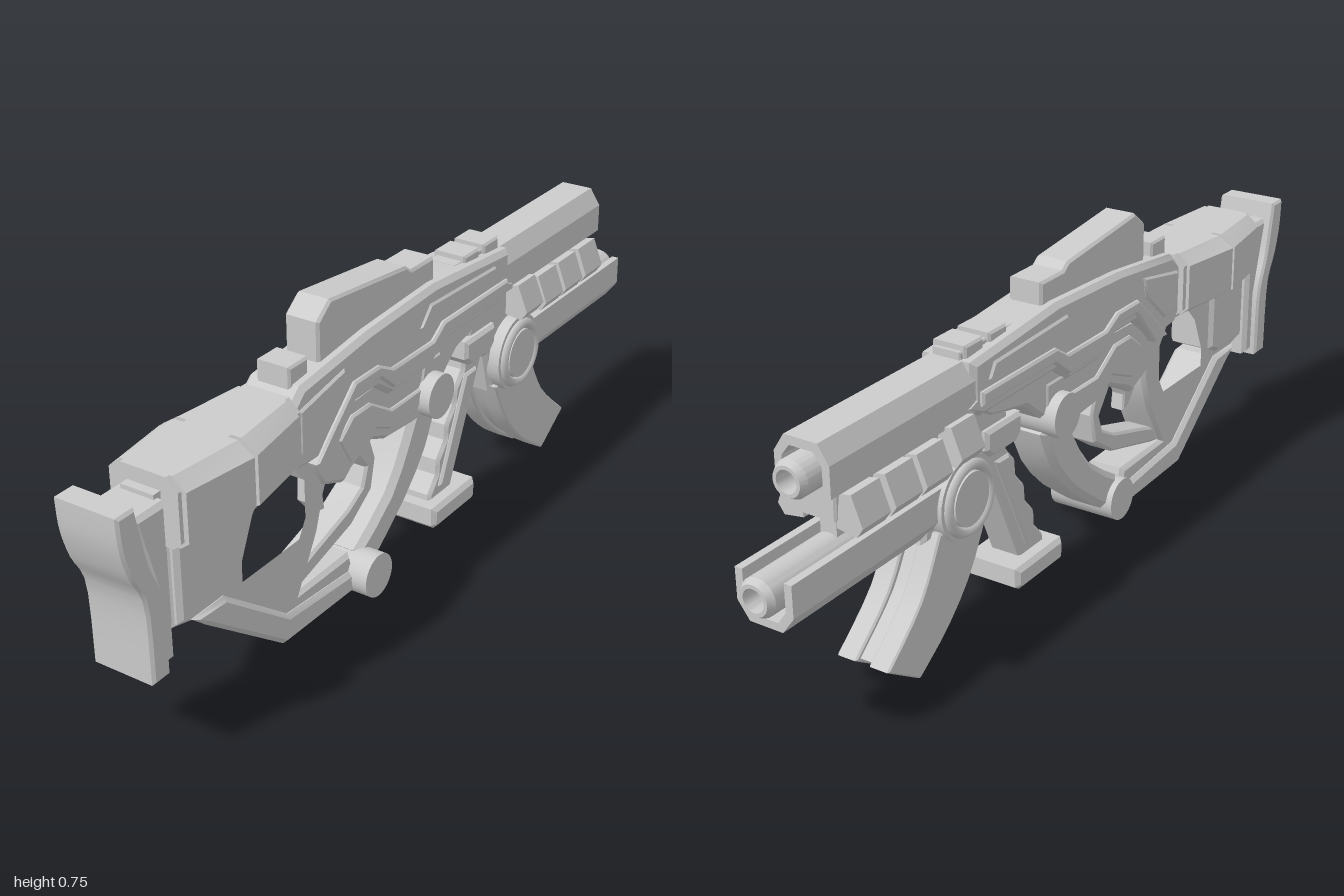
import * as THREE from 'three';
import { toCreasedNormals } from 'three/addons/utils/BufferGeometryUtils.js';

const mat = new THREE.MeshStandardMaterial({ color: 0xcccccc });

export function createModel() {
  const model = new THREE.Group();
  const add = (name, geo) => {
    const mesh = new THREE.Mesh(geo, mat);
    mesh.name = name;
    model.add(mesh);
    return mesh;
  };
  const toShape = (pts) => new THREE.Shape(pts.map(([u, v]) => new THREE.Vector2(u, v)));

  // Side profile in [z, y], extruded across x with chamfered rims
  const plate = (name, pts, x0, x1, bevel = 0.01, hole) => {
    const flip = (list) => list.map(([z, y]) => [-z, y]);
    const shape = toShape(flip(pts));
    if (hole) shape.holes.push(toShape(flip(hole)));
    const geo = new THREE.ExtrudeGeometry(shape, {
      depth: x1 - x0 - 2 * bevel, bevelEnabled: bevel > 0, bevelThickness: bevel,
      bevelSize: bevel, bevelOffset: -bevel, bevelSegments: 1,
    });
    geo.translate(0, 0, x0 + bevel).rotateY(Math.PI / 2);
    return add(name, toCreasedNormals(geo, 0.5));
  };
  const slab = (name, pts, half, bevel, hole) => plate(name, pts, -half, half, bevel, hole);
  const rect = (z0, z1, y0, y1) => [[z0, y0], [z1, y0], [z1, y1], [z0, y1]];

  // Cross-section in [x, y], extruded along z, with an x scale at each end
  const along = (name, pts, z0, z1, s0 = 1, s1 = 1) => {
    const geo = new THREE.ExtrudeGeometry(toShape(pts), { depth: z1 - z0, bevelEnabled: false });
    const p = geo.attributes.position;
    for (let i = 0; i < p.count; i++) p.setX(i, p.getX(i) * (p.getZ(i) < 1e-6 ? s0 : s1));
    geo.translate(0, 0, z0);
    return add(name, toCreasedNormals(geo, 0.3));
  };
  const spline = (pts, n = 8) => new THREE.SplineCurve(pts.map((p) => new THREE.Vector2(...p)))
    .getPoints(n).map((p) => [p.x, p.y]);
  // Round part lying across x
  const axle = (name, z, y, r, x0, x1) => {
    const geo = new THREE.CylinderGeometry(r, r, x1 - x0, 32).rotateZ(Math.PI / 2);
    add(name, geo.translate((x0 + x1) / 2, y, z));
  };

  // Butt pad and its mount
  slab('buttPad', [
    ...spline([[1, 0.6], [0.995, 0.53], [0.975, 0.46], [0.94, 0.38], [0.935, 0.2]], 14),
    ...spline([[0.885, 0.2], [0.888, 0.37], [0.92, 0.46], [0.938, 0.54], [0.95, 0.6]], 14),
  ], 0.077, 0.006);
  slab('buttMount', [[0.94, 0.56], [0.85, 0.56], [0.85, 0.21], [0.89, 0.21], [0.89, 0.37]], 0.062);
  slab('stockNeck', rect(0.86, 0.82, 0.27, 0.57), 0.04, 0);

  // Stock frame with thumbhole, grip and lower rail
  slab('stockFrame', [
    [0.834, 0.56], [0.46, 0.56], [0.34, 0.45], [0.337, 0.32], [0.364, 0.24], [0.433, 0.123],
    [0.246, 0.123], [0.22, 0.03], [0.503, 0.043], [0.749, 0.24], [0.834, 0.262],
  ], 0.05, 0.01, [
    [0.636, 0.246], [0.636, 0.305], [0.594, 0.4], [0.55, 0.444], [0.444, 0.444],
    [0.4, 0.39], [0.4, 0.294], [0.428, 0.246],
  ]);
  slab('lowerRail', [
    [0.79, 0.26], [0.69, 0.26], [0.485, 0.1], [0.23, 0.08], [0.21, 0.03], [0.503, 0.035], [0.749, 0.225],
  ], 0.062);
  slab('stockSidePanel', [[0.83, 0.5], [0.66, 0.5], [0.66, 0.29], [0.7, 0.27], [0.83, 0.27]], 0.06);

  // Two tapered cheek sleeves
  const cheek = [[-0.09, 0.45], [0.09, 0.45], [0.117, 0.467], [0.117, 0.577], [0.078, 0.603],
    [-0.078, 0.603], [-0.117, 0.577], [-0.117, 0.467]];
  along('frontCheekSleeve', cheek, 0.475, 0.645, 0.77, 1);
  along('rearCheekSleeve', cheek, 0.655, 0.83, 1, 0.8);
  along('cheekCore', cheek, 0.46, 0.84, 0.7, 0.7);

  // Receiver: upper shell, narrower lower housing and raised ribbons
  slab('upperReceiver', [
    [0.47, 0.58], [0.43, 0.615], [0.19, 0.643], [-0.07, 0.655], [-0.39, 0.628], [-0.39, 0.55],
    [-0.42, 0.535], [-0.36, 0.5], [-0.08, 0.5], [-0.03, 0.46], [0.11, 0.46], [0.166, 0.5],
    [0.257, 0.5], [0.353, 0.425], [0.45, 0.433], [0.47, 0.46],
  ], 0.069, 0.012);
  slab('lowerReceiver', [
    [0.4, 0.5], [-0.37, 0.52], [-0.31, 0.476], [-0.18, 0.45], [-0.1, 0.385], [-0.02, 0.337],
    [0.11, 0.347], [0.165, 0.37], [0.246, 0.335], [0.273, 0.315], [0.353, 0.347], [0.396, 0.42],
  ], 0.056);
  slab('sideRibbon', [
    [0.35, 0.475], [0.26, 0.557], [0.166, 0.557], [0.115, 0.53], [-0.045, 0.53], [-0.09, 0.56],
    [-0.37, 0.56], [-0.37, 0.528], [-0.1, 0.528], [-0.04, 0.482], [0.112, 0.482], [0.166, 0.528],
    [0.25, 0.528], [0.34, 0.425], [0.4, 0.425],
  ], 0.079, 0.005);
  slab('rearSidePanel', [[0.45, 0.57], [0.29, 0.6], [0.3, 0.55], [0.39, 0.47], [0.45, 0.47]], 0.075, 0.005);
  slab('frontSidePanel', [[0.0, 0.575], [-0.34, 0.575], [-0.32, 0.61], [-0.04, 0.62]], 0.074, 0.005);
  slab('lowerSidePanel', [[0.3, 0.43], [0.25, 0.47], [0.18, 0.47], [0.1, 0.42], [-0.04, 0.42],
    [0, 0.37], [0.11, 0.375], [0.165, 0.4], [0.26, 0.36]], 0.064, 0.005);

  // Sight housing and top rail blocks
  slab('sightHousing', [
    [0.34, 0.62], [0.34, 0.715], [0.295, 0.75], [0.01, 0.72], [-0.01, 0.705], [-0.1, 0.705], [-0.1, 0.63],
  ], 0.042, 0.006);
  slab('rearSightBlock', rect(0.44, 0.375, 0.59, 0.655), 0.042, 0.005);
  for (const z of [-0.23, -0.315]) slab('topRailBlock', rect(z, z - 0.065, 0.6, 0.657), 0.042, 0.005);
  slab('topRail', rect(-0.2, -0.39, 0.6, 0.645), 0.035, 0.003);

  // Trigger and guard
  slab('trigger', [[0.345, 0.35], [0.28, 0.33], [0.3, 0.29], [0.295, 0.25], [0.32, 0.255], [0.35, 0.29]], 0.018, 0.004);
  slab('triggerGuard', [
    [0.2, 0.39], [0.15, 0.38], [0.123, 0.305], [0.14, 0.23], [0.22, 0.176], [0.433, 0.118],
    [0.46, 0.145], [0.38, 0.176], [0.23, 0.22], [0.176, 0.25], [0.16, 0.294], [0.203, 0.35],
  ], 0.035, 0.006);

  // Curved arm between two round pivots
  slab('brace', [
    ...spline([[0.225, 0.115], [0.1, 0.2], [0.03, 0.3], [-0.03, 0.41]], 6),
    ...spline([[-0.105, 0.35], [-0.06, 0.25], [0.03, 0.15], [0.17, 0.045]], 6),
  ], 0.055, 0.015);
  axle('lowerPivot', 0.21, 0.063, 0.052, -0.07, 0.1);
  axle('upperPivot', -0.06, 0.39, 0.053, -0.085, 0.09);
  slab('upperPivotLug', [[-0.01, 0.38], [-0.03, 0.48], [-0.11, 0.48], [-0.11, 0.39]], 0.06);

  // Bracket carrying the hub and foregrip
  slab('hubBracket', [
    [-0.24, 0.47], [-0.39, 0.55], [-0.47, 0.52], [-0.53, 0.41], [-0.55, 0.28], [-0.35, 0.265],
    [-0.32, 0.37], [-0.24, 0.4],
  ], 0.05);
  axle('hubDisc', -0.43, 0.347, 0.095, -0.078, 0.078);
  axle('hubCap', -0.43, 0.347, 0.06, -0.088, 0.088);
  for (const s of [-1, 1]) {
    add('hubRing', new THREE.TorusGeometry(0.074, 0.012, 6, 32).rotateY(Math.PI / 2).translate(s * 0.079, 0.347, -0.43));
  }

  // Foregrip with finger ridges
  const ridges = [];
  for (let i = 0; i <= 16; i++) {
    const t = i / 16;
    ridges.push([-0.09 - 0.145 * t + 0.008 * Math.sin(t * Math.PI * 8), 0.08 + 0.31 * t]);
  }
  slab('foregrip', [...ridges, [-0.325, 0.4], [-0.185, 0.08]], 0.042, 0.008);
  slab('foregripPanel', [[-0.125, 0.11], [-0.235, 0.36], [-0.285, 0.36], [-0.17, 0.11]], 0.05, 0.006);
  slab('foregripCollar', [[-0.21, 0.455], [-0.34, 0.455], [-0.34, 0.41], [-0.32, 0.39], [-0.23, 0.39], [-0.21, 0.41]], 0.065, 0.008);
  slab('foregripBase', [[-0.06, 0.085], [-0.245, 0.085], [-0.245, 0.04], [-0.23, 0.03], [-0.07, 0.03], [-0.06, 0.04]], 0.075, 0.01);

  // Curved magazine with a rib on each side
  const magazine = (name, a, x0, x1, end) => plate(name, [
    ...spline([[-0.35 - a, 0.28], [-0.415 - a, 0.16], [-0.5 - a, 0.07], [-0.6 - a, end]]),
    ...spline([[-0.706 + a, 0.07], [-0.59 + a, 0.176], [-0.52 + a, 0.3]]),
  ], x0, x1, 0.004);
  magazine('magazine', 0.015, -0.04, 0.04, 0.01);
  magazine('magazineRightRib', 0, -0.07, -0.02, 0);
  magazine('magazineLeftRib', 0, 0.012, 0.062, 0);

  // Upper barrel in a shroud open underneath
  along('upperShroud', [
    [-0.066, 0.52], [-0.048, 0.52], [-0.048, 0.582], [-0.028, 0.608], [0.028, 0.608], [0.048, 0.582],
    [0.048, 0.52], [0.066, 0.52], [0.066, 0.588], [0.04, 0.628], [-0.04, 0.628], [-0.066, 0.588],
  ], -0.845, -0.37);
  along('upperShroudFloor', [[-0.05, 0.525], [0.05, 0.525], [0.05, 0.59], [0.03, 0.61], [-0.03, 0.61], [-0.05, 0.59]], -0.79, -0.37);
  // Lower barrel in a trough open above
  along('lowerTrough', [
    [-0.068, 0.4], [-0.068, 0.33], [-0.04, 0.292], [0.04, 0.292], [0.068, 0.33], [0.068, 0.4],
    [0.05, 0.4], [0.05, 0.338], [0.03, 0.31], [-0.03, 0.31], [-0.05, 0.338], [-0.05, 0.4],
  ], -0.97, -0.5);

  // Hollow barrels
  const barrel = (name, y, r, tip, back) => {
    const pts = [[0, 0.06], [r * 0.6, 0.06], [r * 0.6, 0], [r * 0.8, 0], [r, 0.015], [r, back], [0, back]];
    const geo = new THREE.LatheGeometry(pts.reverse().map((p) => new THREE.Vector2(...p)), 24);
    geo.rotateX(Math.PI / 2).translate(0, y, tip);
    const mesh = add(name, toCreasedNormals(geo, 0.5));
    mesh.material = mat.clone();
    mesh.material.side = THREE.DoubleSide;
  };
  barrel('upperBarrel', 0.558, 0.041, -0.89, 0.4);
  barrel('lowerBarrel', 0.362, 0.042, -1, 0.45);

  // Side rail between the barrels, with slanted blocks
  slab('railCore', rect(-0.4, -0.81, 0.45, 0.53), 0.045, 0.005);
  slab('railSpine', rect(-0.45, -0.78, 0.39, 0.46), 0.02, 0);
  const block = [[0.05, 0.51], [0.078, 0.515], [0.103, 0.45], [0.088, 0.428], [0.04, 0.435]];
  for (const s of [-1, 1]) {
    const side = block.map(([x, y]) => [s * x, y]);
    for (const z of [-0.6, -0.7, -0.803]) along('railBlock', side, z, z + 0.086);
    along('rearRailBlock', side.map(([x, y]) => [x * 1.05, y + 0.015]), -0.49, -0.41);
  }
  return model;
}
